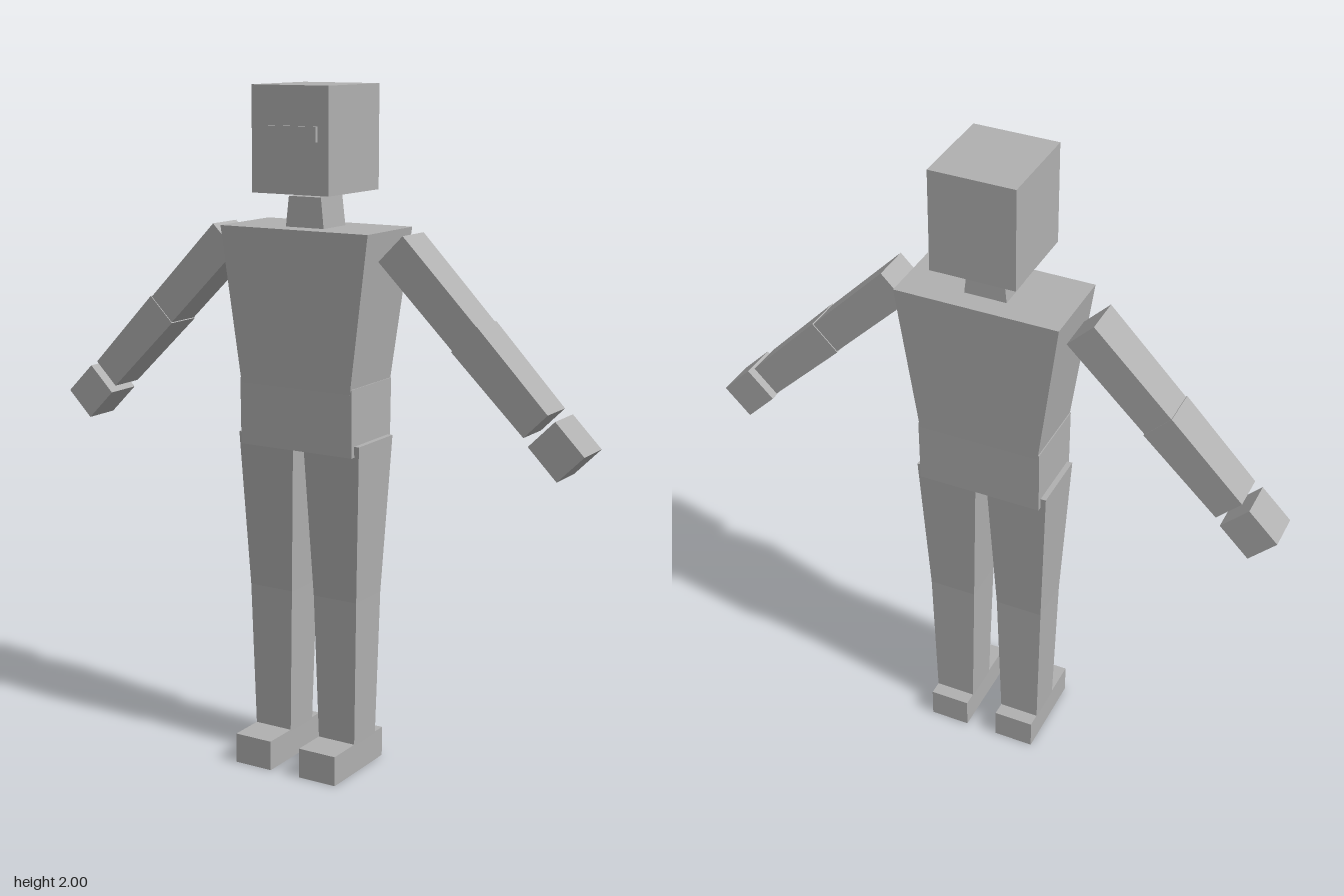
import * as THREE from 'three';

// Box whose bottom and top rectangles differ: each is [x0, x1, z0, z1].
function taperedBox(y0, y1, bottom, top = bottom) {
  const geometry = new THREE.BoxGeometry(1, 1, 1);
  const p = geometry.attributes.position;
  for (let i = 0; i < p.count; i++) {
    const r = p.getY(i) > 0 ? top : bottom;
    p.setXYZ(
      i,
      p.getX(i) > 0 ? r[1] : r[0],
      p.getY(i) > 0 ? y1 : y0,
      p.getZ(i) > 0 ? r[3] : r[2]
    );
  }
  geometry.computeVertexNormals();
  return geometry;
}

// Rectangle centred on x = 0.
const centred = (half, z0, z1) => [-half, half, z0, z1];

export function createModel() {
  const model = new THREE.Group();
  model.name = 'blockFigure';
  const grey = new THREE.MeshStandardMaterial({ color: 0xb0b0b0 });
  grey.name = 'grey';

  const add = (parent, name, ...box) => {
    const mesh = new THREE.Mesh(taperedBox(...box), grey);
    mesh.name = name;
    parent.add(mesh);
  };

  // Head with a thin raised face bar
  add(model, 'head', 1.702, 2, centred(0.125, -0.156, 0.12));
  add(model, 'faceBar', 1.848, 1.89, centred(0.09, 0.119, 0.13));

  // Neck, chest and hips
  add(model, 'neck', 1.6, 1.69, centred(0.063, -0.076, 0.043), centred(0.053, -0.074, 0.042));
  add(model, 'chest', 1.15, 1.603, centred(0.182, -0.129, 0.097), centred(0.243, -0.143, 0.108));
  add(model, 'hips', 0.968, 1.165, centred(0.187, -0.125, 0.093), centred(0.187, -0.129, 0.096));

  for (const side of [1, -1]) {
    const label = side > 0 ? 'left' : 'right';

    // Legs: mirrored rectangles running from inner to outer edge
    const leg = new THREE.Group();
    leg.name = label + 'Leg';
    const rect = (inner, outer, z0, z1) =>
      side > 0 ? [inner, outer, z0, z1] : [-outer, -inner, z0, z1];
    const knee = rect(0.038, 0.182, -0.085, 0.055);
    add(leg, 'thigh', 0.53, 1, knee, rect(0.017, 0.203, -0.112, 0.08));
    add(leg, 'shin', 0.085, 0.53, rect(0.05, 0.172, -0.077, 0.045), knee);
    add(leg, 'foot', 0, 0.09, rect(0.05, 0.172, -0.12, 0.156));
    model.add(leg);

    // Arms: built hanging down, then swung out from the shoulder
    const arm = new THREE.Group();
    arm.name = label + 'Arm';
    add(arm, 'upperArm', -0.328, 0, centred(0.051, -0.074, 0.039), centred(0.0535, -0.078, 0.042));
    add(arm, 'forearm', -0.633, -0.326, centred(0.049, -0.073, 0.039), centred(0.054, -0.077, 0.042));
    add(arm, 'hand', -0.782, -0.659, centred(0.055, -0.075, 0.04));
    arm.position.set(side * 0.277, 1.56, 0);
    arm.rotation.z = side * Math.PI / 4;
    model.add(arm);
  }
  return model;
}
